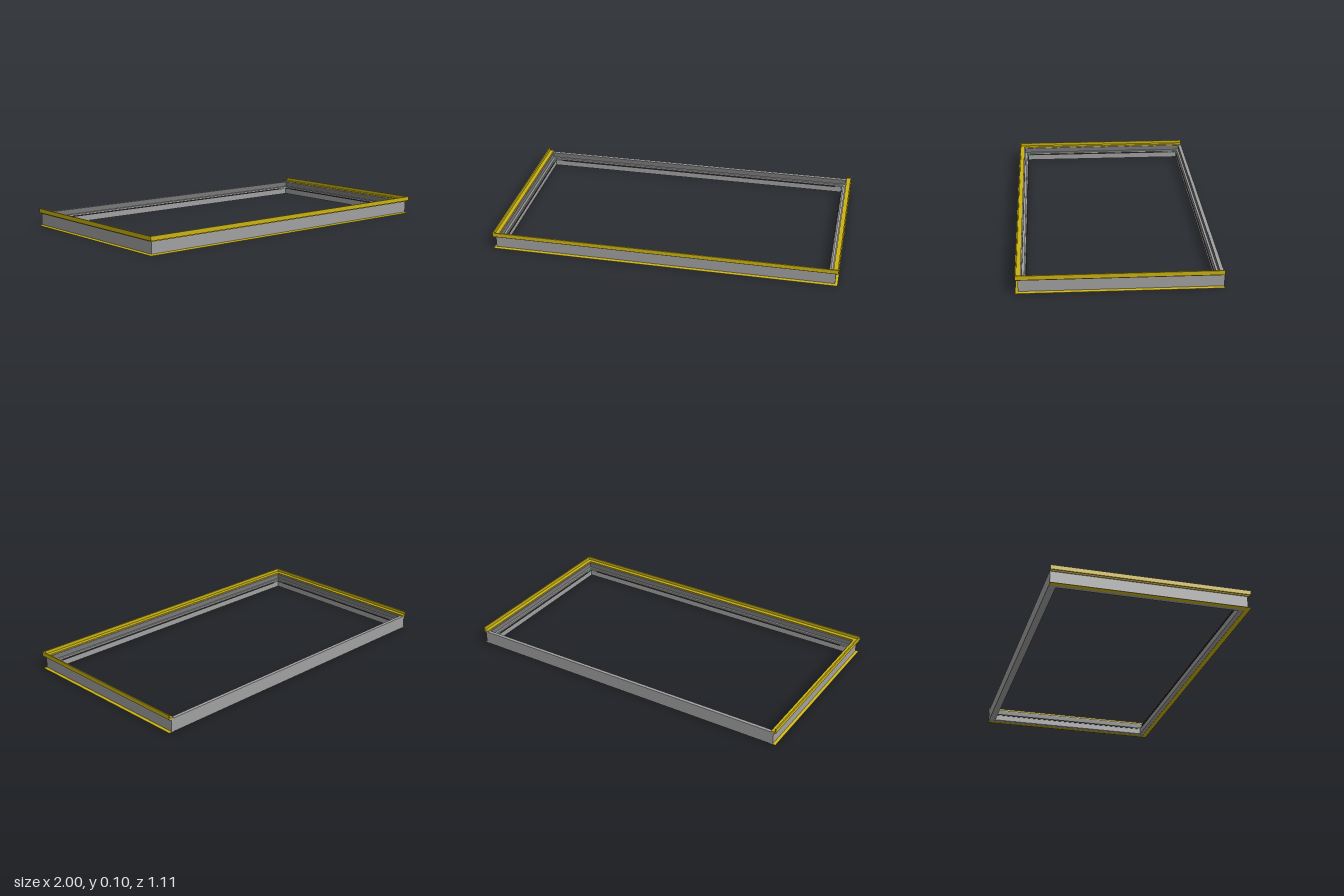
import * as THREE from 'three';

const X = 1, Z = 0.555;

// Sweep a profile of [inset, height] points round the rectangle with mitred corners.
// Open sweeps run along three sides and stop, capped, at the back edge.
function sweep(profile, open) {
  const corners = [[1, -1], [1, 1], [-1, 1], [-1, -1]];
  const at = ([d, y], [sx, sz]) => {
    let z = Z - d;
    if (sz < 0) z = open ? -Z : -Z + d - 0.015;
    return [sx * (X - d), y, z];
  };
  const pos = [];
  const n = profile.length;
  for (let k = 0; k < (open ? 3 : 4); k++) {
    const c0 = corners[k], c1 = corners[(k + 1) % 4];
    for (let i = 0; i < n; i++) {
      const p = profile[i], q = profile[(i + 1) % n];
      const a = at(p, c0), b = at(q, c0), c = at(q, c1), d = at(p, c1);
      pos.push(...a, ...b, ...c, ...a, ...c, ...d);
    }
  }
  if (open) {
    const flat = profile.map(([d, y]) => new THREE.Vector2(d, y));
    for (const face of THREE.ShapeUtils.triangulateShape(flat, [])) {
      for (const c of [corners[0], corners[3]]) {
        for (const i of face) pos.push(...at(profile[i], c));
      }
    }
  }
  const geo = new THREE.BufferGeometry();
  geo.setAttribute('position', new THREE.Float32BufferAttribute(pos, 3));
  geo.computeVertexNormals();
  return geo;
}

export function createModel() {
  const group = new THREE.Group();
  const material = (color) => new THREE.MeshStandardMaterial({ color, side: THREE.DoubleSide });
  const grey = material(0xa0a0a0);
  const liner = material(0x787878);
  const yellow = material(0xcab212);
  const dark = material(0x383838);
  const green = material(0x22803a);
  const add = (name, geo, mat) => {
    const mesh = new THREE.Mesh(geo, mat);
    mesh.name = name;
    group.add(mesh);
    return mesh;
  };
  const box = (name, mat, size, x, y, z) =>
    add(name, new THREE.BoxGeometry(...size), mat).position.set(x, y, z);

  // Closed frame: tall outer wall with a stepped inner ledge
  add('frameBody', sweep([
    [0.015, 0.002], [0.015, 0.08], [0.034, 0.08], [0.034, 0.05],
    [0.048, 0.05], [0.048, 0.04], [0.055, 0.04], [0.055, 0.002],
  ], false), grey);

  // Darker lining on the upper inside of the wall
  add('innerLining', sweep([
    [0.033, 0.049], [0.033, 0.079], [0.036, 0.079], [0.036, 0.049],
  ], false), liner);

  // Three-sided top rail with an upright lip and a small hem below
  add('topRail', sweep([
    [0.008, 0.074], [0.008, 0.08], [0, 0.08], [0, 0.105],
    [0.007, 0.105], [0.007, 0.087], [0.03, 0.087], [0.03, 0.074],
  ], true), yellow);

  // Thin tapered flange under the same three sides
  add('bottomFlange', sweep([
    [0, 0], [0, 0.002], [0.015, 0.007], [0.03, 0.007], [0.03, 0],
  ], true), yellow);

  // Dark seal along the inner ledge, broken at the corners
  for (const s of [-1, 1]) {
    box('sideSeal', dark, [0.007, 0.006, 0.92], s * 0.9445, 0.039, -0.0075);
    box('endSeal', dark, [1.8, 0.006, 0.007], 0, 0.039, -0.0075 + s * 0.507);
  }

  // Small corner keys at the ends of the side seals
  for (const sx of [-1, 1]) {
    for (const sz of [-1, 1]) {
      box('cornerKey', green, [0.004, 0.006, 0.044], sx * 0.9435, 0.039, -0.0075 + sz * 0.484);
    }
  }
  return group;
}
